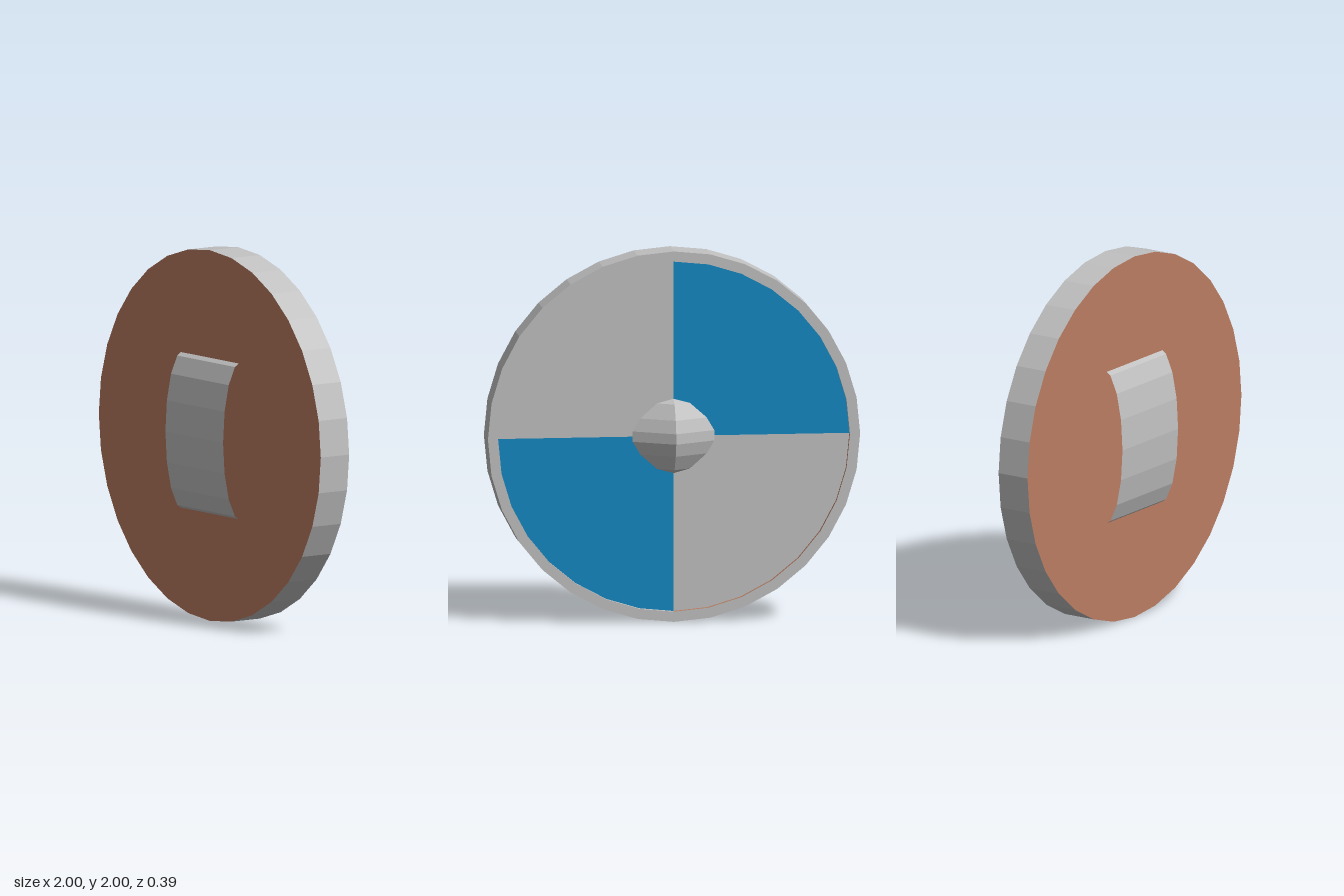
import * as THREE from 'three';

const paint = (name, color) => {
  const m = new THREE.MeshStandardMaterial({ color, flatShading: true });
  m.name = name;
  return m;
};

// Surface through rows of points; faces the viewer who sees rows rise and points run rightward
function sheet(rows) {
  const w = rows[0].length, index = [];
  for (let i = 0; i < rows.length - 1; i++)
    for (let j = 0; j < w - 1; j++) {
      const a = i * w + j, c = a + w;
      index.push(a, a + 1, c, a + 1, c + 1, c);
    }
  const g = new THREE.BufferGeometry();
  g.setAttribute('position', new THREE.Float32BufferAttribute(rows.flat(2), 3));
  g.setIndex(index);
  const flat = g.toNonIndexed();
  flat.computeVertexNormals();
  return flat;
}

export function createModel() {
  const silver = paint('silver', 0xc0c0c0);
  const brown = paint('brown', 0xba7c61);
  const blue = paint('blue', 0x0e87c2);

  const half = 0.094, inner = 0.945, recess = -0.068, quarter = Math.PI / 2;
  const shield = new THREE.Group();
  shield.name = 'shield';
  shield.position.y = 1;
  const add = (name, geometry, material) => {
    const mesh = new THREE.Mesh(geometry, material);
    mesh.name = name;
    shield.add(mesh);
  };

  // Rim and the brown face on the handle side
  add('rimOuter', new THREE.CylinderGeometry(1, 1, half * 2, 32, 1, true).rotateX(quarter), silver);
  add('rimEdge', new THREE.RingGeometry(inner, 1, 32).rotateY(Math.PI).translate(0, 0, -half), silver);
  add('gripFace', new THREE.CircleGeometry(1, 32).translate(0, 0, half), brown);

  // Recessed quarters and the inner rim wall, mirrored so that it faces inward
  const wallColours = [brown, silver, blue, silver];
  for (let k = 0; k < 4; k++) {
    add('quarter' + (k + 1),
      new THREE.CircleGeometry(inner, 8, k * quarter, quarter).rotateY(Math.PI).translate(0, 0, recess),
      k % 2 ? silver : blue);
    add('rimWall' + (k + 1),
      new THREE.CylinderGeometry(inner, inner, half + recess, 8, 1, true, k * quarter, quarter)
        .rotateX(quarter).scale(-1, 1, 1).translate(0, 0, (recess - half) / 2),
      wallColours[k]);
  }

  // Boss: a ridged dome with sloping sides
  const ridge = [[0.2, -0.07], [0.177, -0.12], [0.097, -0.173], [0.028, -0.197]];
  const profile = [
    ...ridge.map(([y, z]) => [-y, z]),
    ...ridge.slice().reverse(),
  ];
  add('boss', sheet(profile.map(([y, z]) => {
    const w = 1.7 * (recess - z);
    return [[w, y, recess], [0, y, z], [-w, y, recess]];
  })), silver);

  // Handle: an open arched strap sunk slightly into the face
  const strap = [];
  for (let i = 0; i <= 8; i++) {
    const a = -quarter + i * Math.PI / 8;
    const y = 0.436 * Math.sin(a), z = 0.07 + 0.127 * Math.cos(a);
    strap.push([[-0.26, y, z], [0.26, y, z]]);
  }
  add('handle', sheet(strap), silver);

  const model = new THREE.Group();
  model.name = 'roundShield';
  model.add(shield);
  return model;
}
